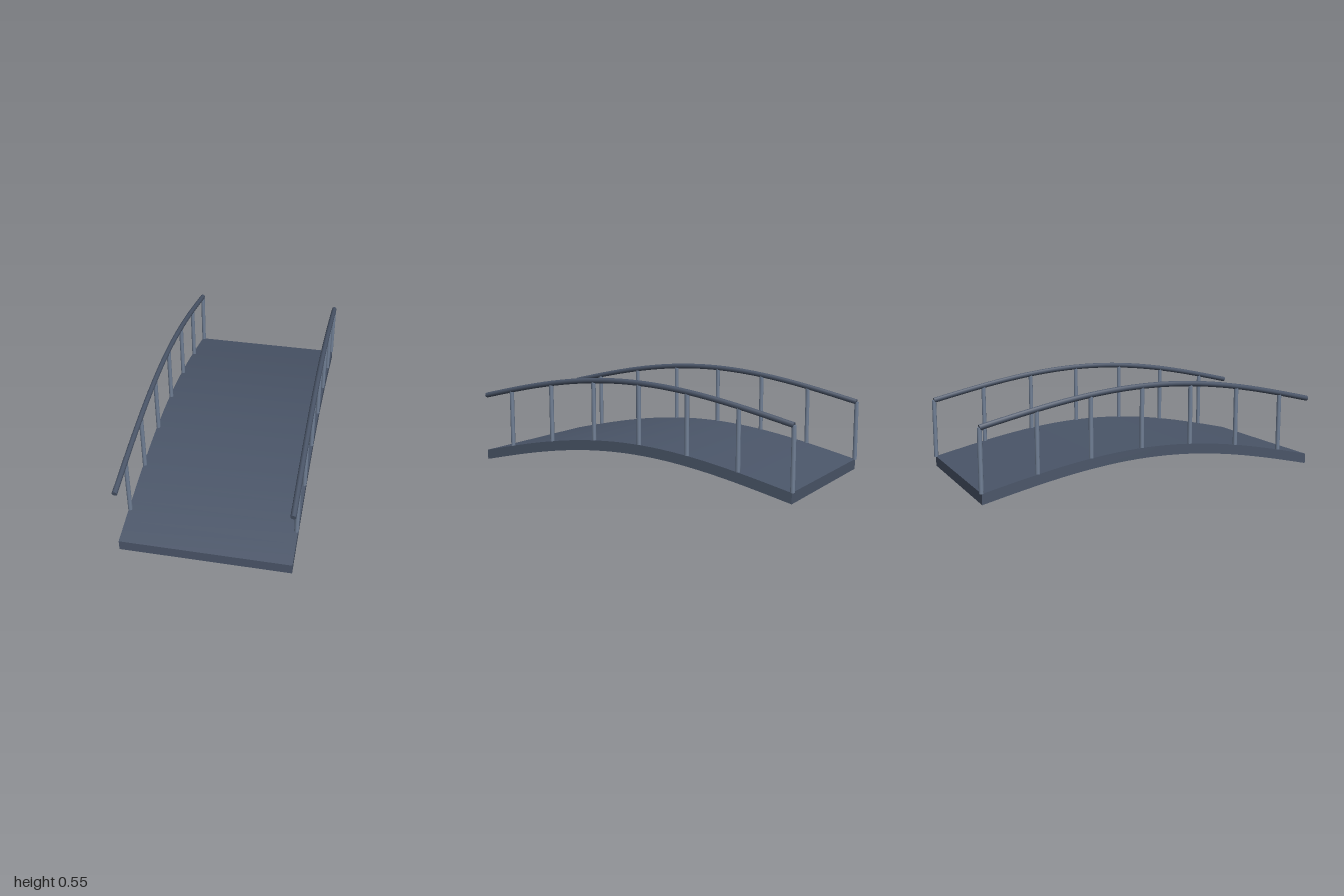
import * as THREE from 'three';
import { toCreasedNormals } from 'three/addons/utils/BufferGeometryUtils.js';

const Z_FRONT = 0.997, LENGTH = 1.984;
const RISE = 0.146, THICK = 0.057, HALF_WIDTH = 0.453;
const RAIL_X = 0.445, RAIL_HEIGHT = 0.39, RAIL_R = 0.015, POST_R = 0.0125;

// Sine arch along the span, t = 0 at the front and 1 at the back
const zAt = (t) => Z_FRONT - LENGTH * t;
const archAt = (t) => RISE * Math.sin(Math.PI * t);

function mesh(name, geometry, material) {
  const m = new THREE.Mesh(geometry, material);
  m.name = name;
  return m;
}

// Arched slab: side profile extruded across the width
function deckGeometry() {
  const n = 32, top = [], bottom = [];
  for (let i = 0; i <= n; i++) {
    const t = i / n;
    bottom.push(new THREE.Vector2(zAt(t), archAt(t)));
    top.unshift(new THREE.Vector2(zAt(t), archAt(t) + THICK));
  }
  const g = new THREE.ExtrudeGeometry(new THREE.Shape([...bottom, ...top]), {
    depth: HALF_WIDTH * 2, bevelEnabled: false,
  });
  g.translate(0, 0, -HALF_WIDTH);
  g.rotateY(-Math.PI / 2);
  return toCreasedNormals(g, 0.5);
}

// Handrail with closed ends, following the arch
function handrail(material) {
  const points = [];
  for (let i = 0; i <= 20; i++) {
    const t = i / 20;
    points.push(new THREE.Vector3(0, RAIL_HEIGHT + archAt(t), zAt(t)));
  }
  const path = new THREE.CatmullRomCurve3(points);
  const rail = new THREE.Group();
  rail.name = 'handrail';
  rail.add(mesh('railTube', new THREE.TubeGeometry(path, 40, RAIL_R, 8), material));
  for (const t of [0, 1]) {
    const cap = mesh('railEnd', new THREE.CircleGeometry(RAIL_R, 8), material);
    const outward = path.getTangentAt(t).multiplyScalar(t ? 1 : -1);
    cap.position.copy(path.getPointAt(t));
    cap.lookAt(cap.position.clone().add(outward));
    rail.add(cap);
  }
  return rail;
}

export function createModel() {
  const slate = new THREE.MeshStandardMaterial({ color: 0x4a5568 });
  slate.name = 'slate';
  const paleSteel = new THREE.MeshStandardMaterial({ color: 0x718096 });
  paleSteel.name = 'paleSteel';

  const bridge = new THREE.Group();
  bridge.name = 'archedFootbridge';
  bridge.add(mesh('deck', deckGeometry(), slate));

  // Posts run from the deck surface to the rail centre; the last stands at the back edge
  const postHeight = RAIL_HEIGHT - THICK;
  const postGeometry = new THREE.CylinderGeometry(POST_R, POST_R, postHeight, 8);
  for (const side of [-1, 1]) {
    const railing = new THREE.Group();
    railing.name = side > 0 ? 'leftRailing' : 'rightRailing';
    railing.position.x = side * RAIL_X;
    railing.add(handrail(slate));
    for (let i = 0; i < 7; i++) {
      const t = 0.1 + 0.15 * i;
      const post = mesh('post', postGeometry, paleSteel);
      post.position.set(0, archAt(t) + THICK + postHeight / 2, zAt(t));
      railing.add(post);
    }
    bridge.add(railing);
  }
  return bridge;
}
